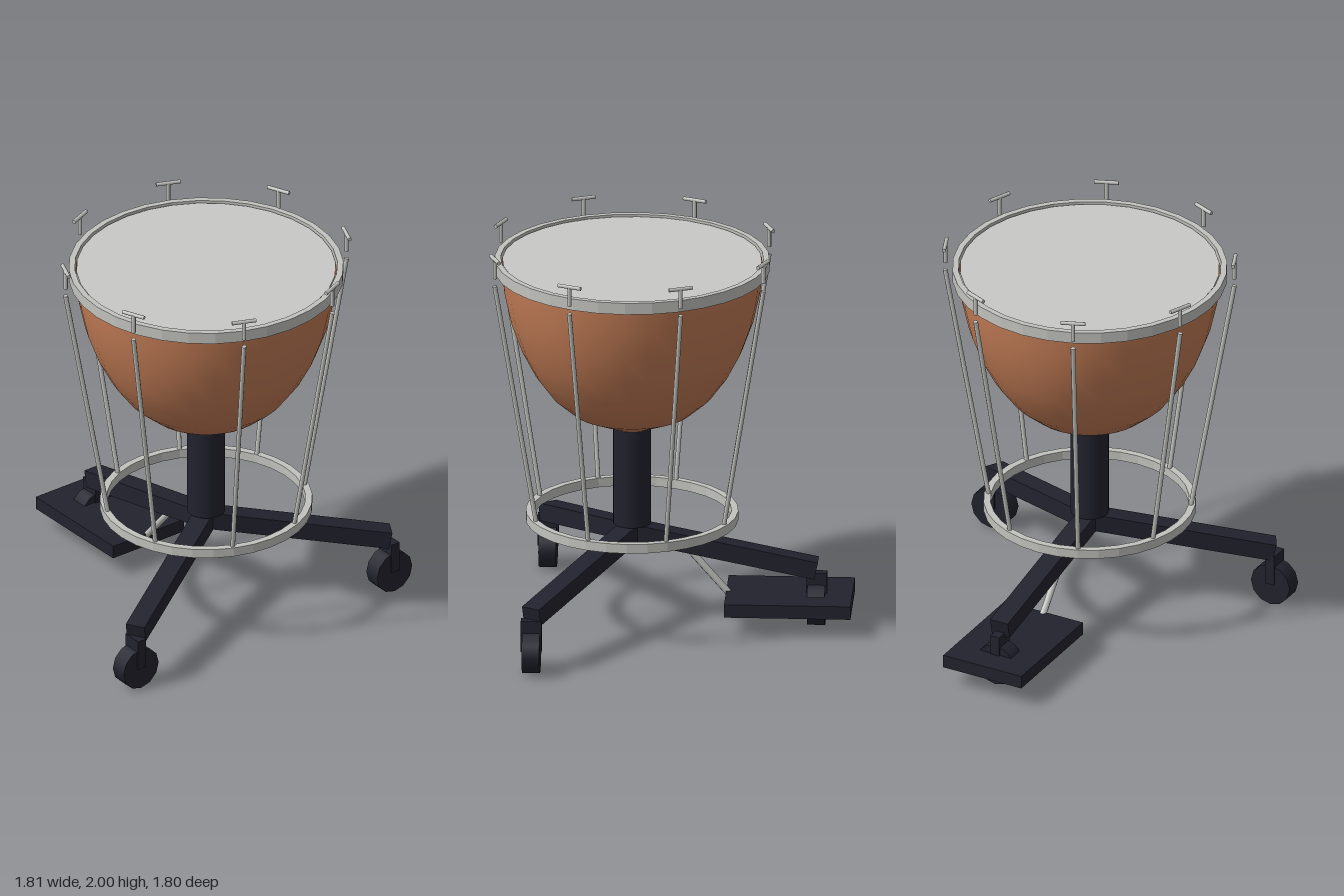
import * as THREE from 'three';

const mat = (name, color) => {
  const m = new THREE.MeshStandardMaterial({ color });
  m.name = name;
  return m;
};

export function createModel() {
  const copper = mat('copper', 0xc47d56);
  copper.side = THREE.DoubleSide; // open bowl
  const steel = mat('steel', 0xc2c2be);
  const skin = mat('drum skin', 0xc8c8c6);
  const dark = mat('dark frame', 0x22222e);

  const model = new THREE.Group();
  model.name = 'kettledrum';
  const drum = new THREE.Group(); // everything arranged round the drum axis
  drum.name = 'drum';
  drum.position.z = 0.2;
  model.add(drum);

  const add = (parent, name, geometry, material, x = 0, y = 0, z = 0) => {
    const mesh = new THREE.Mesh(geometry, material);
    mesh.name = name;
    mesh.position.set(x, y, z);
    parent.add(mesh);
    return mesh;
  };

  // Straight round bar between two points
  const bar = (parent, name, a, b, r, material) => {
    const dir = b.clone().sub(a);
    const mesh = add(parent, name, new THREE.CylinderGeometry(r, r, dir.length(), 8), material);
    mesh.position.copy(a).lerp(b, 0.5);
    mesh.quaternion.setFromUnitVectors(new THREE.Vector3(0, 1, 0), dir.normalize());
    return mesh;
  };

  // Flat faceted ring lying level, from y0 upward
  const ring = (name, outer, inner, y0, height) => {
    const shape = new THREE.Shape().absarc(0, 0, outer, 0, Math.PI * 2, false);
    shape.holes.push(new THREE.Path().absarc(0, 0, inner, 0, Math.PI * 2, true));
    const g = new THREE.ExtrudeGeometry(shape, { depth: height, bevelEnabled: false, curveSegments: 16 });
    g.rotateX(-Math.PI / 2);
    add(drum, name, g, steel, 0, y0, 0);
  };

  // Bowl, skin and hoops
  const profile = [
    [0, 1.03], [0.1, 1.03], [0.3, 1.115], [0.4, 1.2], [0.485, 1.315],
    [0.55, 1.44], [0.605, 1.59], [0.64, 1.75], [0.652, 1.89],
  ].map(([r, y]) => new THREE.Vector2(r, y));
  add(drum, 'bowl', new THREE.LatheGeometry(profile, 32), copper);
  add(drum, 'drumHead', new THREE.CylinderGeometry(0.647, 0.647, 0.02, 32), skin, 0, 1.895, 0);
  ring('rimHoop', 0.685, 0.655, 1.855, 0.06);
  ring('lowerRing', 0.53, 0.495, 0.54, 0.048);

  // Tension rods with T-shaped tuning keys
  for (let i = 0; i < 8; i++) {
    const a = ((i + 0.5) * Math.PI) / 4;
    const tuner = new THREE.Group();
    tuner.name = 'tuner';
    tuner.rotation.y = a;
    drum.add(tuner);
    const p = (r, y, t = 0) => new THREE.Vector3(r, y, t);
    bar(tuner, 'tensionRod', p(0.505, 0.57), p(0.725, 1.85), 0.012, steel);
    bar(tuner, 'keyStem', p(0.724, 1.89), p(0.724, 1.99), 0.011, steel);
    bar(tuner, 'keyHandle', p(0.724, 1.99, -0.062), p(0.724, 1.99, 0.062), 0.01, steel);
  }

  // Post
  add(drum, 'post', new THREE.CylinderGeometry(0.095, 0.095, 0.53, 24), dark, 0, 0.785, 0);

  // Three sloping legs, each ending in a caster
  const reach = 0.92, topY = 0.48, endY = 0.295;
  for (let i = 0; i < 3; i++) {
    const a = Math.PI + (i * Math.PI * 2) / 3;
    const pivot = new THREE.Group();
    pivot.name = 'legMount';
    pivot.rotation.y = a;
    drum.add(pivot);
    const leg = add(pivot, 'leg', new THREE.BoxGeometry(0.1, 0.09, Math.hypot(reach, topY - endY)),
      dark, 0, (topY + endY) / 2, reach / 2);
    leg.rotation.x = Math.atan2(topY - endY, reach);

    const caster = new THREE.Group();
    caster.name = 'caster';
    caster.position.set(Math.sin(a) * reach, 0, Math.cos(a) * reach);
    drum.add(caster);
    add(caster, 'casterFork', new THREE.BoxGeometry(0.05, 0.16, 0.104), dark, 0, 0.195, 0);
    const wheel = add(caster, 'wheel', new THREE.CylinderGeometry(0.11, 0.11, 0.088, 12), dark, 0, 0.11, 0);
    wheel.rotation.x = Math.PI / 2;
  }

  // Foot pedal and its link rod
  add(model, 'pedal', new THREE.BoxGeometry(0.445, 0.068, 0.63), dark, 0, 0.137, -0.585);
  bar(model, 'pedalRod', new THREE.Vector3(0, 0.16, -0.28), new THREE.Vector3(0, 0.39, -0.08), 0.018, steel);

  return model;
}
